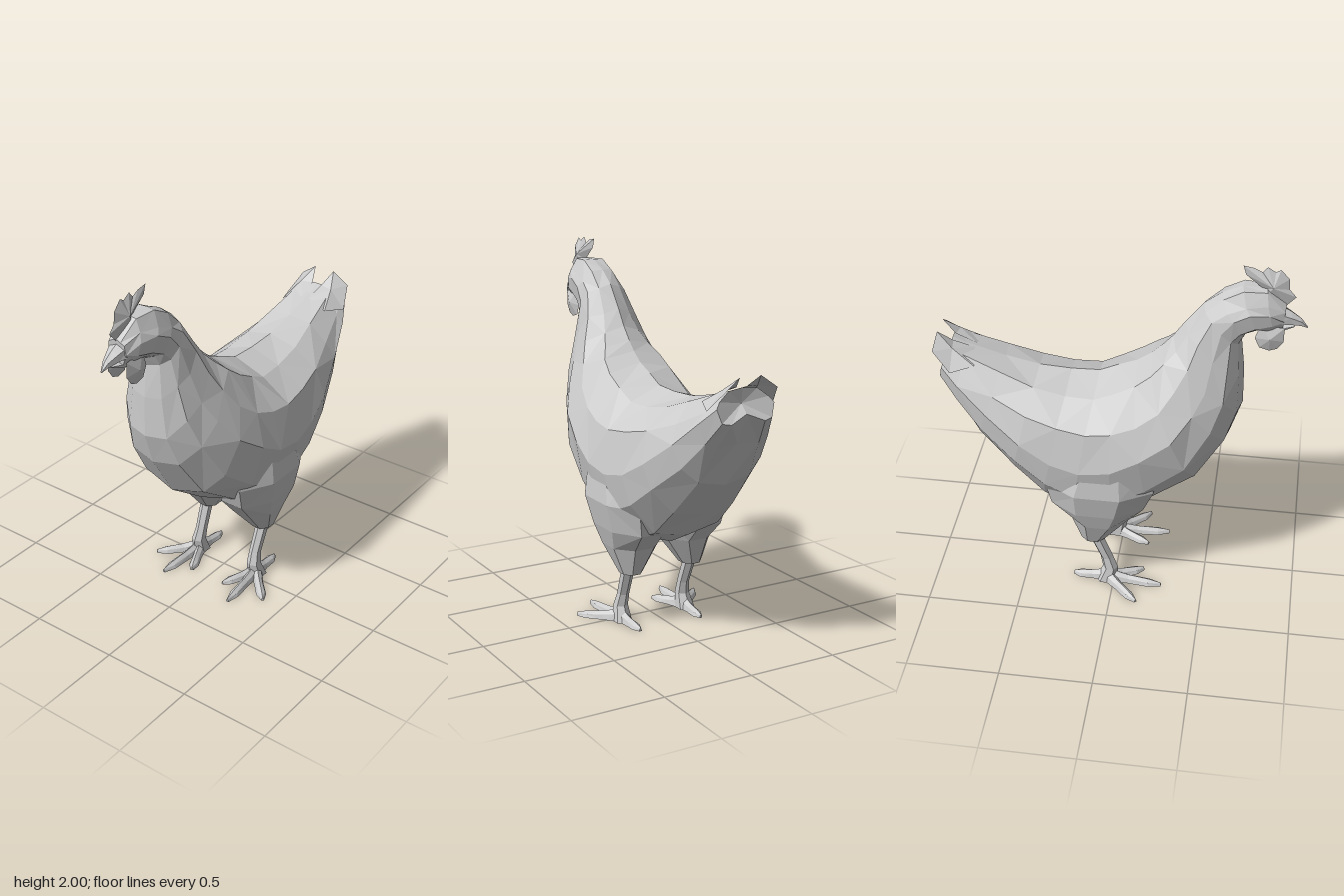
import * as THREE from 'three';

const material = new THREE.MeshStandardMaterial({ color: 0xcccccc, flatShading: true, side: THREE.DoubleSide });

// Turns triangles into a mesh, facing them outward by the sign of the volume
function meshFrom(name, tris) {
  const v = new THREE.Vector3();
  let volume = 0;
  for (const [a, b, c] of tris) volume += v.crossVectors(b, c).dot(a);
  const points = tris.flatMap(([a, b, c]) => (volume < 0 ? [a, c, b] : [a, b, c]));
  const geometry = new THREE.BufferGeometry().setFromPoints(points);
  geometry.computeVertexNormals();
  const mesh = new THREE.Mesh(geometry, material);
  mesh.name = name;
  return mesh;
}

const middle = (ring) => ring.reduce((s, p) => s.add(p), new THREE.Vector3()).divideScalar(ring.length);

// Skin over a row of rings, with fan caps; startCap overrides the first cap's centre
function loft(name, rings, startCap) {
  const tris = [];
  const n = rings[0].length;
  for (let i = 0; i < rings.length - 1; i++) {
    for (let k = 0; k < n; k++) {
      const a = rings[i][k], b = rings[i][(k + 1) % n];
      const c = rings[i + 1][(k + 1) % n], d = rings[i + 1][k];
      const mirrored = k >= n / 2 ? 1 : 0;
      if ((i + k + mirrored) % 2) tris.push([a, b, c], [a, c, d]);
      else tris.push([a, b, d], [b, c, d]);
    }
  }
  const first = rings[0], last = rings[rings.length - 1];
  const start = startCap || middle(first), end = middle(last);
  for (let k = 0; k < n; k++) {
    tris.push([start, first[(k + 1) % n], first[k]], [end, last[k], last[(k + 1) % n]]);
  }
  return meshFrom(name, tris);
}

// Ring spanned by a top and a bottom point, ridged above and fuller below; hollow lifts the underside
function section([tz, ty, bz, by, w, hollow = 0], i, n = 12, wobble = 0) {
  return Array.from({ length: n }, (_, k) => {
    const a = (2 * Math.PI * k) / n;
    const s = Math.sin(a);
    const j = Math.min(k, n - k);
    const bump = wobble * Math.sin(i * 5.3 + j * 2.9);
    let f = (1 - Math.cos(a)) / 2;
    if (k === n / 2) f -= hollow;
    return new THREE.Vector3(
      Math.sign(s) * Math.pow(Math.abs(s), f < 0.5 ? 1.03 : 0.82) * w * (1 + (j === 3 ? 0 : bump)),
      ty + (by - ty) * f + (j % 6 ? bump * 0.5 : 0),
      tz + (bz - tz) * f);
  });
}

// Thin leaf from an outline of [z, y] points, swollen at its centre
function leaf(name, outline, [cx, cy, cz], thickness) {
  const pts = outline.map(([z, y]) => new THREE.Vector3(cx, y, z));
  const tris = [];
  pts.forEach((p, i) => {
    const q = pts[(i + 1) % pts.length];
    tris.push([p, q, new THREE.Vector3(cx + thickness, cy, cz)], [q, p, new THREE.Vector3(cx - thickness, cy, cz)]);
  });
  return meshFrom(name, tris);
}

// Horizontal ring: x centre, height, z centre, half sizes
function flatRing(s, [x, y, z, rx, rz], n = 8) {
  return Array.from({ length: n }, (_, k) => {
    const a = (2 * Math.PI * (k + 0.5)) / n;
    return new THREE.Vector3(s * (x + rx * 1.06 * Math.cos(a)), y, z + rz * 1.06 * Math.sin(a));
  });
}

// Tapered toe along the ground
function toe(s, [x0, z0], [x1, z1]) {
  const dir = new THREE.Vector3(x1 - x0, 0, z1 - z0);
  const side = new THREE.Vector3(-dir.z, 0, dir.x).normalize();
  const rings = [[0, 0.035, 0.075], [0.4, 0.026, 0.048], [0.78, 0.028, 0.038], [1, 0.008, 0.025]].map(([t, w, h]) =>
    [[-1, 0.005], [-0.7, h * 0.65], [0, h], [0.7, h * 0.65], [1, 0.005]].map(([u, y]) =>
      new THREE.Vector3(s * (x0 + dir.x * t + side.x * w * u), y, z0 + dir.z * t + side.z * w * u)));
  return loft('toe', rings);
}

export function createModel() {
  const hen = new THREE.Group();
  hen.name = 'hen';

  // Body from tail to face: top z, top y, bottom z, bottom y, half width, hollow
  const body = [
    [-0.88, 1.44, -0.94, 1.25, 0.165, 0.35],
    [-0.8, 1.41, -0.85, 1.11, 0.21, 0.15],
    [-0.6, 1.35, -0.74, 0.92, 0.265],
    [-0.42, 1.31, -0.55, 0.72, 0.325],
    [-0.25, 1.3, -0.39, 0.56, 0.352],
    [-0.1, 1.305, -0.23, 0.48, 0.37],
    [0, 1.35, 0, 0.46, 0.375],
    [0.1, 1.39, 0.2, 0.57, 0.368],
    [0.17, 1.44, 0.45, 0.75, 0.335],
    [0.22, 1.49, 0.6, 1.0, 0.27],
    [0.28, 1.56, 0.655, 1.18, 0.215],
    [0.34, 1.65, 0.65, 1.4, 0.165],
    [0.43, 1.77, 0.63, 1.57, 0.132],
    [0.52, 1.84, 0.655, 1.62, 0.124],
    [0.62, 1.885, 0.72, 1.65, 0.116],
    [0.74, 1.885, 0.79, 1.65, 0.09],
    [0.84, 1.8, 0.83, 1.67, 0.055],
  ];
  hen.add(loft('body', body.map((r, i) => section(r, i, 12, 0.03)), new THREE.Vector3(0, 1.36, -0.87)));

  // Beak halves
  hen.add(loft('upperBeak', [
    [0.77, 1.81, 0.8, 1.685, 0.075], [0.87, 1.755, 0.87, 1.68, 0.04], [0.92, 1.72, 0.92, 1.675, 0.02], [0.955, 1.672, 0.95, 1.667, 0.003],
  ].map((r, i) => section(r, i, 6))));
  hen.add(loft('lowerBeak', [
    [0.77, 1.68, 0.76, 1.63, 0.065], [0.83, 1.675, 0.82, 1.645, 0.035], [0.89, 1.675, 0.885, 1.667, 0.008],
  ].map((r, i) => section(r, i, 6))));

  // Comb with a ragged top edge
  hen.add(leaf('comb', [
    [0.84, 1.79], [0.885, 1.84], [0.85, 1.88], [0.845, 1.94], [0.8, 1.99], [0.775, 1.975], [0.735, 2.0],
    [0.71, 1.97], [0.67, 1.99], [0.615, 2.0], [0.63, 1.95], [0.72, 1.875], [0.72, 1.82],
  ], [0, 1.9, 0.77], 0.032));

  for (const s of [1, -1]) {
    const side = new THREE.Group();
    side.name = s > 0 ? 'leftSide' : 'rightSide';
    hen.add(side);

    // Wattle
    side.add(leaf('wattle', [
      [0.72, 1.7], [0.84, 1.69], [0.84, 1.61], [0.81, 1.565], [0.77, 1.55], [0.72, 1.565], [0.695, 1.62],
    ], [s * 0.058, 1.63, 0.77], 0.025));

    // Broad tail feather lying over the end of the tail
    const rim = [
      [0.02, 1.4, -0.76], [0.03, 1.44, -0.87], [0.06, 1.505, -0.945], [0.15, 1.44, -0.955], [0.19, 1.34, -0.86], [0.14, 1.36, -0.74],
    ].map(([x, y, z]) => new THREE.Vector3(s * x, y, z));
    const ridge = new THREE.Vector3(s * 0.1, 1.435, -0.86);
    side.add(meshFrom('tailFeather', rim.map((p, i) => [p, rim[(i + 1) % rim.length], ridge])));

    // Feathered thigh: x, y, z, half width, half depth
    side.add(loft('thigh', [
      [0.185, 0.305, -0.115, 0.058, 0.064], [0.165, 0.46, -0.08, 0.14, 0.155],
      [0.175, 0.57, -0.085, 0.165, 0.255], [0.2, 0.72, -0.07, 0.172, 0.3], [0.23, 0.88, -0.05, 0.125, 0.24],
    ].map((r) => flatRing(s, r))));

    // Shank
    side.add(loft('shank', [
      [0.195, 0.34, -0.11, 0.033, 0.038], [0.19, 0.16, -0.04, 0.03, 0.034],
      [0.195, 0.09, -0.02, 0.036, 0.04], [0.2, 0.005, -0.045, 0.05, 0.055],
    ].map((r) => flatRing(s, r, 6))));

    // Toes: middle, outer, inner and back
    for (const tip of [[0.225, 0.27], [0.375, 0.145], [0.108, 0.16], [0.19, -0.23]]) {
      side.add(toe(s, [0.198, -0.04], tip));
    }
  }
  return hen;
}
